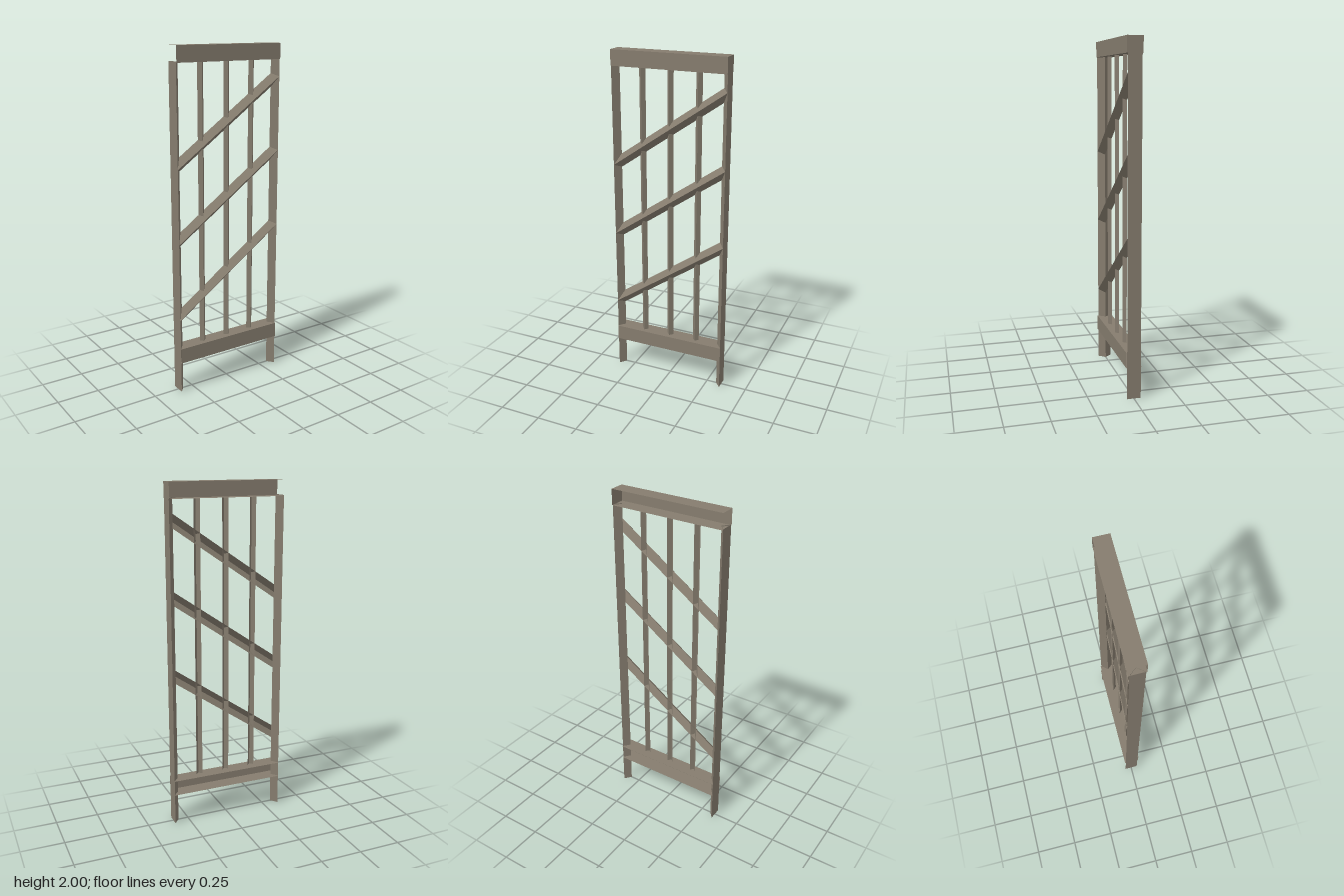
import * as THREE from 'three';

const W = 0.343; // half width of the panel

// Straight strip: a profile of [across, z] points swept from a to b (x, y points)
function sweep(name, profile, a, b, across, material) {
  const pos = [];
  const at = (p, [u, z]) => [p[0] + across[0] * u, p[1] + across[1] * u, z];
  for (let i = 0; i < profile.length - 1; i++) {
    const p = at(a, profile[i]), q = at(b, profile[i]);
    const r = at(b, profile[i + 1]), s = at(a, profile[i + 1]);
    pos.push(...p, ...q, ...r, ...p, ...r, ...s);
  }
  const geometry = new THREE.BufferGeometry();
  geometry.setAttribute('position', new THREE.Float32BufferAttribute(pos, 3));
  geometry.computeVertexNormals();
  const mesh = new THREE.Mesh(geometry, material);
  mesh.name = name;
  return mesh;
}

export function createModel() {
  const group = new THREE.Group();
  group.name = 'trellisPanel';
  const wood = new THREE.MeshStandardMaterial({ color: 0x857c6e, side: THREE.DoubleSide });
  wood.name = 'weatheredWood';

  // Side posts: triangular, flat side outward
  for (const s of [-1, 1]) {
    const profile = [[W * s, 0.04], [0.31 * s, 0], [W * s, -0.04], [W * s, 0.04]];
    if (s < 0) profile.reverse();
    group.add(sweep(s > 0 ? 'leftPost' : 'rightPost', profile, [0, 0], [0, 1.915], [1, 0], wood));
  }

  // Rails: channels open at the back
  for (const [name, y0, y1] of [['topRail', 1.91, 2], ['bottomRail', 0.185, 0.275]]) {
    const profile = [[y0, -0.045], [y0, 0.045], [y1, 0.045], [y1, -0.045]];
    group.add(sweep(name, profile, [-W, 0], [W, 0], [0, 1], wood));
  }

  // End cap of the top rail
  const cap = new THREE.Mesh(new THREE.PlaneGeometry(0.09, 0.09), wood);
  cap.name = 'topRailEnd';
  cap.rotation.y = Math.PI / 2;
  cap.position.set(W, 1.955, 0);
  group.add(cap);

  // Upright bars: V-shaped strips with the ridge to the front
  for (const x of [-0.17, 0, 0.17]) {
    group.add(sweep('uprightBar', [[-0.019, 0], [0, 0.02], [0.019, 0]],
      [x, 0.275], [x, 1.91], [1, 0], wood));
  }

  // Diagonal slats: wider V-shaped strips rising to the left post
  for (const y of [0.69, 1.145, 1.575]) {
    group.add(sweep('diagonalSlat', [[-0.04, 0], [0, 0.04], [0.04, 0]],
      [-W, y - 0.237], [W, y + 0.237], [0, 1], wood));
  }
  return group;
}
